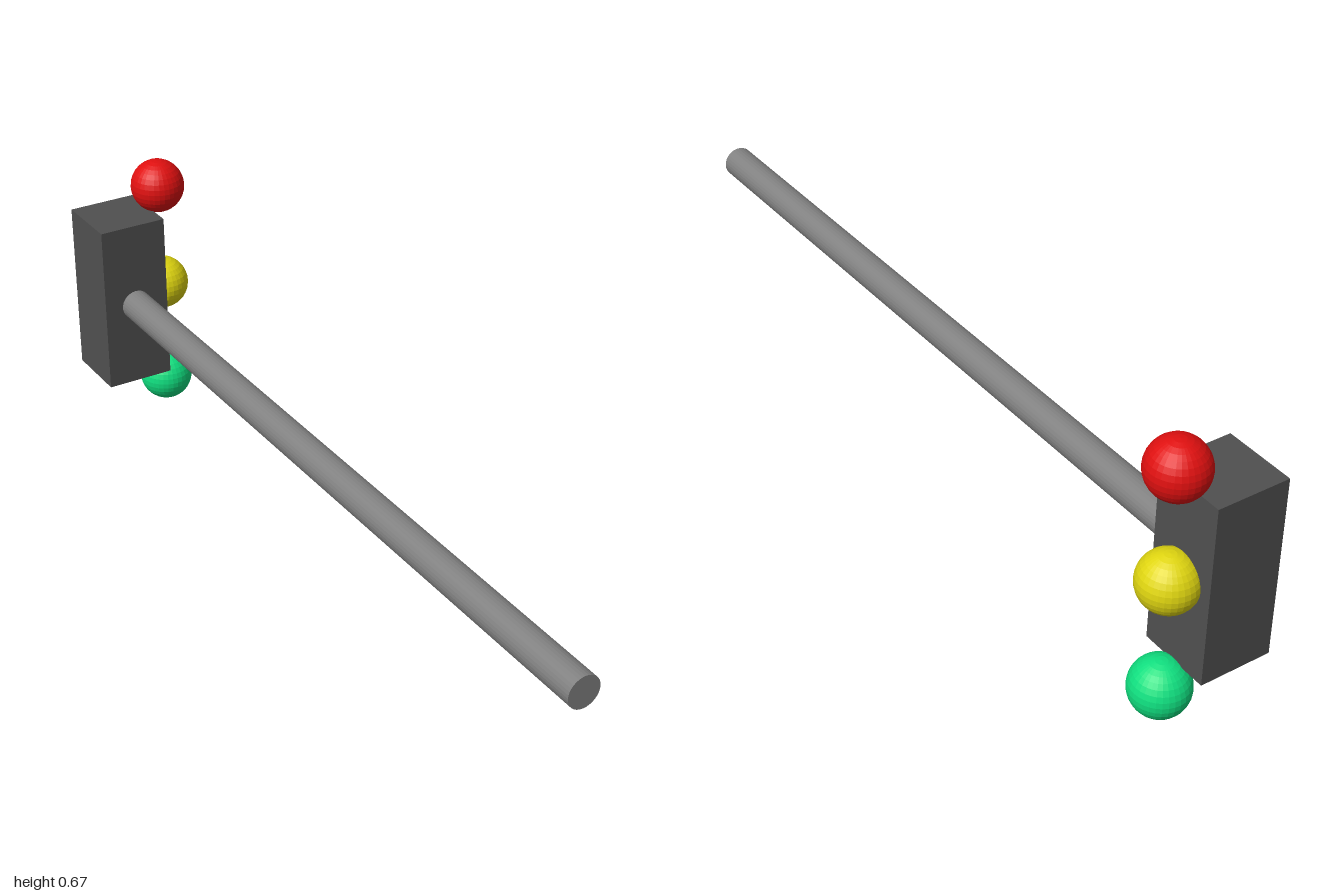
import * as THREE from 'three';

function material(name, color, flatShading = true) {
  const m = new THREE.MeshStandardMaterial({ color, flatShading });
  m.name = name;
  return m;
}

export function createModel() {
  const model = new THREE.Group();
  model.name = 'trafficLight';

  const add = (name, geometry, mat, x, y, z) => {
    const mesh = new THREE.Mesh(geometry, mat);
    mesh.name = name;
    mesh.position.set(x, y, z);
    model.add(mesh);
    return mesh;
  };

  const midY = 0.336;

  // Signal housing at the far end of the arm
  add('housing', new THREE.BoxGeometry(0.171, 0.43, 0.17),
    material('darkGrey', 0x505050), -0.048, midY, -0.915);

  // Long horizontal arm, running into the housing
  const arm = new THREE.CylinderGeometry(0.038, 0.038, 1.84, 32).rotateX(Math.PI / 2);
  add('arm', arm, material('midGrey', 0x808080), -0.049, midY, 0.08);

  // Three round lamps down the left side
  const lamp = new THREE.SphereGeometry(0.067, 32, 16);
  [['redLamp', 'red', 0xe01010, 1],
    ['yellowLamp', 'yellow', 0xe0d610, 0],
    ['greenLamp', 'green', 0x10e080, -1]].forEach(([name, colorName, color, step]) => {
    add(name, lamp, material(colorName, color), 0.066, midY + step * 0.268, -0.913);
  });

  return model;
}
